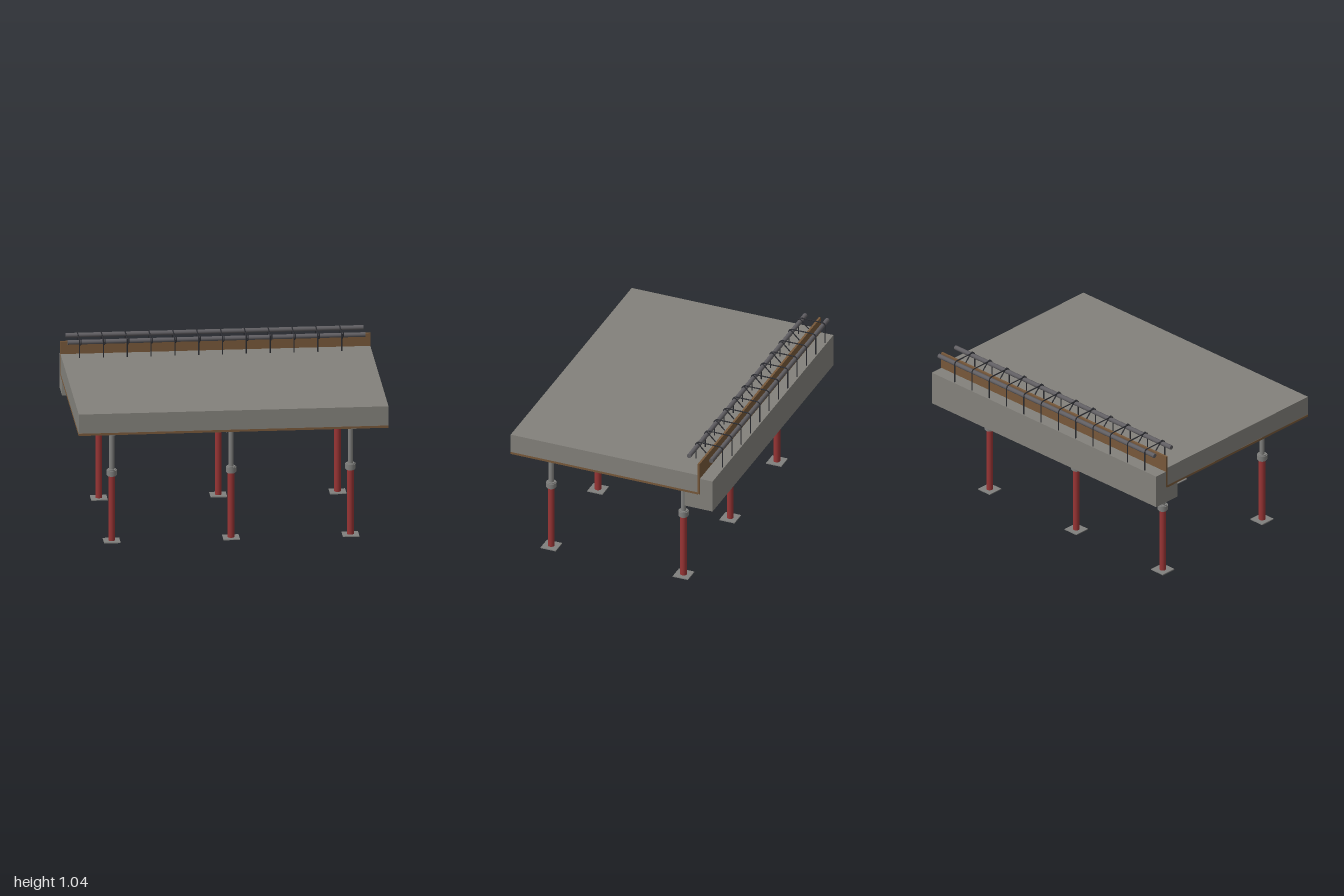
import * as THREE from 'three';

const mat = (name, color, extra = {}) => {
  const m = new THREE.MeshStandardMaterial({ color, ...extra });
  m.name = name;
  return m;
};

export function createModel() {
  const concrete = mat('concrete', 0x83817b);
  const plywood = mat('plywood', 0x77583a);
  const paint = mat('red paint', 0x983434);
  const steel = mat('galvanised steel', 0x80807e);
  const rebar = mat('reinforcing bar', 0x605e62);
  const tie = mat('stirrup steel', 0x2c2d32);

  const model = new THREE.Group();
  model.name = 'slabFormwork';

  const add = (parent, name, geometry, material, x = 0, y = 0, z = 0) => {
    const mesh = new THREE.Mesh(geometry, material);
    mesh.name = name;
    mesh.position.set(x, y, z);
    parent.add(mesh);
    return mesh;
  };
  // Box given by its lower and upper bounds in y and z, centred on x
  const slabBox = (parent, name, material, width, y0, y1, z0, z1, x = 0) =>
    add(parent, name, new THREE.BoxGeometry(width, y1 - y0, z1 - z0), material,
      x, (y0 + y1) / 2, (z0 + z1) / 2);
  // Upright cylinder between two heights
  const tube = (parent, name, material, r, y0, y1) =>
    add(parent, name, new THREE.CylinderGeometry(r, r, y1 - y0, 20), material, 0, (y0 + y1) / 2, 0);

  // Concrete deck, edge beam and their boards
  slabBox(model, 'slab', concrete, 1.998, 0.786, 0.915, -0.601, 0.704);
  slabBox(model, 'edgeBeam', concrete, 1.996, 0.666, 0.89, -0.704, -0.507);
  slabBox(model, 'deckPlywood', plywood, 2, 0.771, 0.786, -0.601, 0.705);
  slabBox(model, 'edgeBoard', plywood, 2, 0.775, 1.0, -0.615, -0.601);

  // Adjustable props, each carrying a short timber in a forked head
  for (const z of [0.517, -0.405]) {
    for (const x of [-0.77, 0, 0.77]) {
      const prop = new THREE.Group();
      prop.name = 'prop';
      prop.position.set(x, 0, z);
      slabBox(prop, 'basePlate', steel, 0.106, 0, 0.006, -0.053, 0.053);
      tube(prop, 'outerTube', paint, 0.022, 0.006, 0.447);
      tube(prop, 'collar', steel, 0.034, 0.447, 0.479);
      tube(prop, 'collarNeck', steel, 0.028, 0.44, 0.485);
      tube(prop, 'innerTube', steel, 0.017, 0.479, 0.724);
      slabBox(prop, 'headPlate', steel, 0.074, 0.722, 0.728, -0.035, 0.035);
      for (const s of [-1, 1])
        slabBox(prop, 'headFork', steel, 0.074, 0.722, 0.771, s * 0.0335 - 0.002, s * 0.0335 + 0.002);
      slabBox(prop, 'timber', plywood, 0.322, 0.728, 0.771, -0.0305, 0.0305);
      model.add(prop);
    }
  }

  // Long top bars
  for (const z of [-0.523, -0.677]) {
    const bar = add(model, 'longBar', new THREE.CylinderGeometry(0.015, 0.015, 1.92, 14), rebar, 0, 1.017, z);
    bar.rotation.z = Math.PI / 2;
  }

  // Stirrup: rounded hoop over the bars, with a hook bent inward at the front
  const r = 0.004, front = -0.507, back = -0.692, top = 1.038, bend = 0.024;
  const v = (y, z, x = 0) => new THREE.Vector3(x, y, z);
  const hoop = new THREE.CurvePath();
  hoop.add(new THREE.LineCurve3(v(0.8, front), v(top - bend, front)));
  hoop.add(new THREE.QuadraticBezierCurve3(v(top - bend, front), v(top, front), v(top, front - bend)));
  hoop.add(new THREE.LineCurve3(v(top, front - bend), v(top, back + bend)));
  hoop.add(new THREE.QuadraticBezierCurve3(v(top, back + bend), v(top, back), v(top - bend, back)));
  hoop.add(new THREE.LineCurve3(v(top - bend, back), v(0.8, back)));
  const hoopGeo = new THREE.TubeGeometry(hoop, 72, r, 8);
  const hookPath = new THREE.CatmullRomCurve3([
    v(1.005, front, 0.009), v(1.024, front - 0.001, 0.01), v(1.036, front - 0.01, 0.011),
    v(1.031, front - 0.022, 0.012), v(1.006, front - 0.047, 0.012), v(0.979, front - 0.074, 0.012),
  ]);
  const hookGeo = new THREE.TubeGeometry(hookPath, 20, r, 8);
  for (let i = 0; i < 12; i++) {
    const stirrup = new THREE.Group();
    stirrup.name = 'stirrup';
    stirrup.position.x = -0.885 + i * 0.1537;
    add(stirrup, 'hoop', hoopGeo, tie);
    add(stirrup, 'hook', hookGeo, tie);
    // End cap of the hook
    const cap = add(stirrup, 'hookEnd', new THREE.SphereGeometry(r, 8, 6), tie);
    cap.position.copy(hookPath.getPoint(1));
    model.add(stirrup);
  }

  return model;
}
